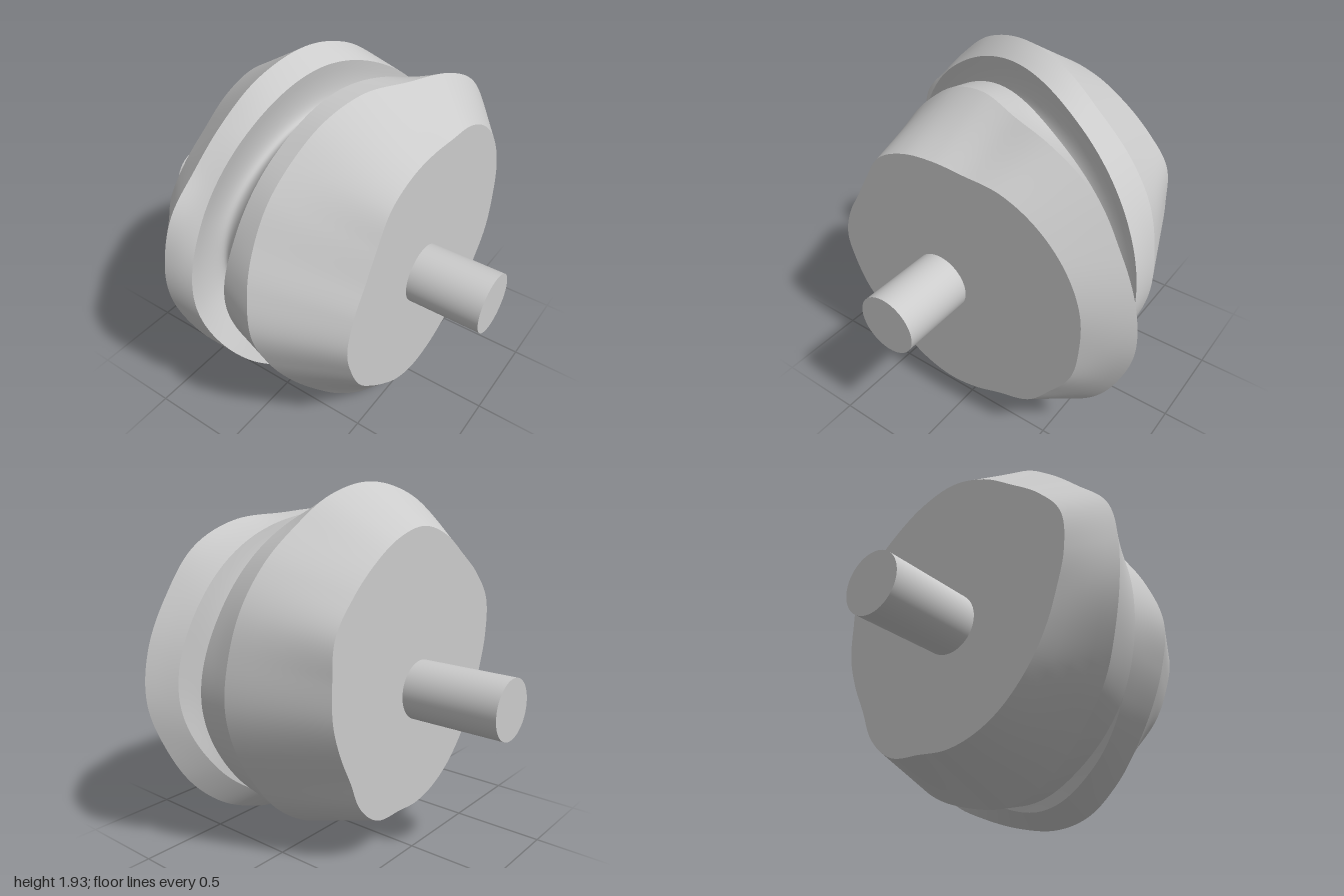
import * as THREE from 'three';

const AXIS = { x: -0.08, y: 0.88 };
const FRONT = 0.6, BACK = -0.47, SEGMENTS = 240;

// Cam dimensions at even steps around the shaft, counter-clockwise from +x
const keys = {
  frontRimR: [0.83, 0.85, 0.85, 0.83, 0.79, 0.73, 0.715, 0.716, 0.705, 0.65, 0.63, 0.655,
    0.68, 0.665, 0.655, 0.638, 0.645, 0.677, 0.70, 0.703, 0.71, 0.767, 0.78, 0.82],
  frontRidgeR: [1.047, 1.053, 1.045, 1.05, 1.0, 0.927, 0.91, 0.878, 0.835, 0.815, 0.805, 0.83,
    0.855, 0.825, 0.80, 0.795, 0.82, 0.858, 0.873, 0.873, 0.887, 0.935, 0.975, 1.005],
  frontRidgeZ: [0.46, 0.44, 0.38, 0.21, 0.11, 0.09, 0.17, 0.27, 0.38, 0.45, 0.37, 0.41],
  frontEdgeR: [0.93, 0.94, 0.93, 0.90, 0.82, 0.78, 0.78, 0.75, 0.76, 0.80, 0.78, 0.85],
  frontEdgeZ: [0.35, 0.31, 0.24, 0.085, 0, -0.04, -0.05, 0.07, 0.20, 0.29, 0.25, 0.295],
  floorR: [0.71, 0.72, 0.74, 0.76, 0.72, 0.68, 0.62, 0.58, 0.56, 0.56, 0.58, 0.65],
  backEdgeR: [0.905, 0.92, 0.95, 0.98, 0.925, 0.87, 0.865, 0.825, 0.79, 0.79, 0.80, 0.85],
  backEdgeZ: [0.21, 0.165, 0.09, -0.03, -0.12, -0.18, -0.17, -0.05, 0.06, 0.165, 0.11, 0.17],
  backRidgeR: [0.905, 0.925, 0.955, 0.97, 0.985, 1.035, 1.06, 1.03, 0.966, 0.937, 0.957, 0.917,
    0.88, 0.845, 0.825, 0.80, 0.80, 0.815, 0.83, 0.835, 0.85, 0.86, 0.855, 0.875],
  backRidgeZ: [0.04, 0, -0.045, -0.13, -0.24, -0.29, -0.33, -0.23, -0.10, 0, -0.03, 0.03],
  backRimR: [0.71, 0.74, 0.80, 0.80, 0.81, 0.835, 0.85, 0.82, 0.78, 0.78, 0.78, 0.71,
    0.64, 0.605, 0.59, 0.59, 0.605, 0.625, 0.645, 0.66, 0.715, 0.71, 0.67, 0.68],
};

// Smooth periodic interpolation of one key list
function sample(list, turn) {
  const n = list.length, f = turn * n, i = Math.floor(f), t = f - i;
  const [a, b, c, d] = [-1, 0, 1, 2].map((k) => list[(i + k + n) % n]);
  return b + 0.5 * t * (c - a + t * (2 * a - 5 * b + 4 * c - d + t * (3 * (b - c) + d - a)));
}

// Closed band around the axis; profile(k, s) gives [radius, z] for s from 0 to 1
function band(name, rows, profile, material) {
  const positions = [], index = [];
  for (let i = 0; i < SEGMENTS; i++) {
    const turn = i / SEGMENTS, angle = turn * Math.PI * 2, k = {};
    for (const key in keys) k[key] = sample(keys[key], turn);
    for (let j = 0; j <= rows; j++) {
      const [r, z] = profile(k, j / rows);
      positions.push(AXIS.x + r * Math.cos(angle), AXIS.y + r * Math.sin(angle), z);
    }
  }
  const w = rows + 1;
  for (let i = 0; i < SEGMENTS; i++) {
    for (let j = 0; j < rows; j++) {
      const a = i * w + j, b = ((i + 1) % SEGMENTS) * w + j;
      index.push(a, a + 1, b, b, a + 1, b + 1);
    }
  }
  const geometry = new THREE.BufferGeometry();
  geometry.setAttribute('position', new THREE.Float32BufferAttribute(positions, 3));
  geometry.setIndex(index);
  geometry.computeVertexNormals();
  const mesh = new THREE.Mesh(geometry, material);
  mesh.name = name;
  return mesh;
}

const mix = THREE.MathUtils.lerp;
const straight = (from, to) => (k, s) => {
  const [a, b] = [from(k), to(k)];
  return [mix(a[0], b[0], s), mix(a[1], b[1], s)];
};

// Round-bottomed slot between the two groove edges, leaning under the back one
function slot(k, s) {
  const t = s * Math.PI, across = 0.5 + 0.5 * Math.cos(t);
  const depth = Math.pow(Math.max(0, Math.sin(t)), 0.85);
  const r = mix(k.backEdgeR, k.frontEdgeR, across);
  const z = mix(k.backEdgeZ, k.frontEdgeZ, across);
  return [mix(r, k.floorR, depth), z - 0.04 * depth];
}

export function createModel() {
  const model = new THREE.Group();
  model.name = 'grooveCam';
  const material = new THREE.MeshStandardMaterial({ color: 0xcccccc, side: THREE.DoubleSide });

  // Profile corners from front to back
  const frontCentre = () => [0, FRONT];
  const frontRim = (k) => [k.frontRimR, FRONT];
  const frontRidge = (k) => [k.frontRidgeR, k.frontRidgeZ];
  const frontEdge = (k) => [k.frontEdgeR, k.frontEdgeZ];
  const backEdge = (k) => [k.backEdgeR, k.backEdgeZ];
  const backRidge = (k) => [k.backRidgeR, k.backRidgeZ];
  const backRim = (k) => [k.backRimR, BACK];
  const backCentre = () => [0, BACK];

  // Cam body: separate bands keep the ridges crisp
  const body = new THREE.Group();
  body.name = 'camBody';
  body.add(
    band('frontFace', 1, straight(frontCentre, frontRim), material),
    band('frontTaper', 4, straight(frontRim, frontRidge), material),
    band('frontShoulder', 3, straight(frontRidge, frontEdge), material),
    band('followerGroove', 20, slot, material),
    band('backShoulder', 3, straight(backEdge, backRidge), material),
    band('backTaper', 4, straight(backRidge, backRim), material),
    band('backFace', 1, straight(backRim, backCentre), material),
  );
  model.add(body);

  // Shaft stubs on both faces
  for (const [name, from, to] of [['frontShaft', FRONT, 1], ['backShaft', -1, BACK]]) {
    const shaft = new THREE.Mesh(new THREE.CylinderGeometry(0.16, 0.16, to - from, 64), material);
    shaft.name = name;
    shaft.rotation.x = Math.PI / 2;
    shaft.position.set(AXIS.x, AXIS.y, (from + to) / 2);
    model.add(shaft);
  }
  return model;
}
